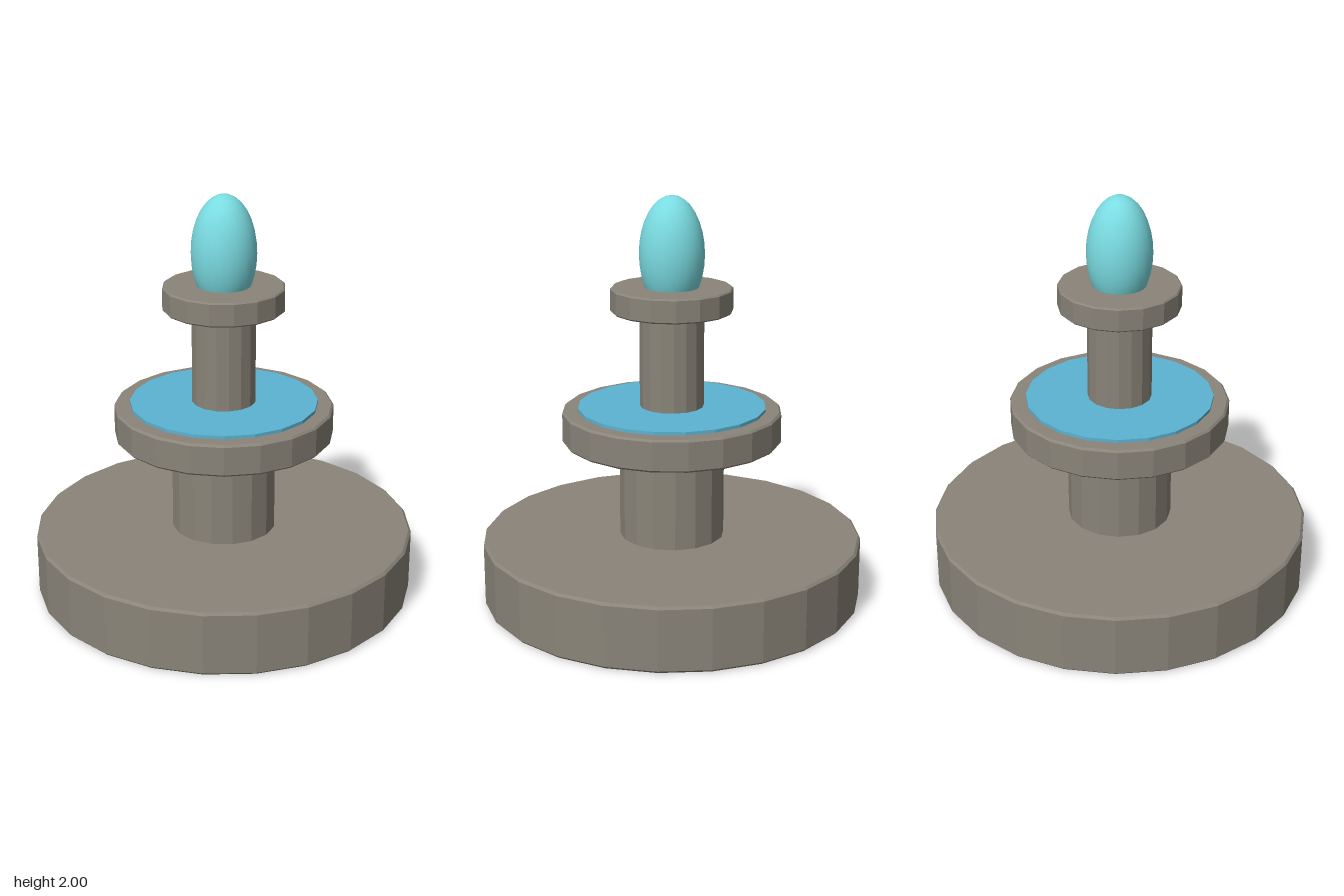
import * as THREE from 'three';

export function createModel() {
  const model = new THREE.Group();
  model.name = 'tieredFountain';

  const material = (name, color, flat) => {
    const m = new THREE.MeshStandardMaterial({ color, flatShading: flat });
    m.name = name;
    return m;
  };
  const stone = material('stone', 0x8a8479, true);
  const water = material('water', 0x5cb3d2, true);
  const orb = material('paleCyan', 0x7adce2, false);

  const add = (name, geometry, mat) => {
    const mesh = new THREE.Mesh(geometry, mat);
    mesh.name = name;
    model.add(mesh);
    return mesh;
  };

  // Faceted disc or column with a small chamfer on its rims
  const round = (name, radius, bottom, top, sides, mat, bevel = 0) => {
    const profile = [[0, bottom], [radius - bevel, bottom]];
    if (bevel) profile.push([radius, bottom + bevel], [radius, top - bevel]);
    profile.push([radius - bevel, top], [0, top]);
    const points = profile.map(([x, y]) => new THREE.Vector2(x, y));
    return add(name, new THREE.LatheGeometry(points, sides), mat);
  };

  // Stone tiers and columns, from the ground up
  round('base', 0.935, 0, 0.32, 24, stone, 0.012);
  round('lowerColumn', 0.257, 0.31, 0.82, 16, stone);
  round('middleBasin', 0.535, 0.805, 0.962, 20, stone, 0.01);
  round('waterSurface', 0.458, 0.95, 0.978, 20, water);
  round('upperColumn', 0.156, 0.95, 1.46, 16, stone);
  round('topBasin', 0.295, 1.445, 1.562, 16, stone, 0.007);

  // Egg-shaped finial, sunk into the top basin
  const finial = add('finial', new THREE.SphereGeometry(1, 24, 16), orb);
  finial.scale.set(0.157, 0.28, 0.157);
  finial.position.y = 1.72;

  return model;
}
